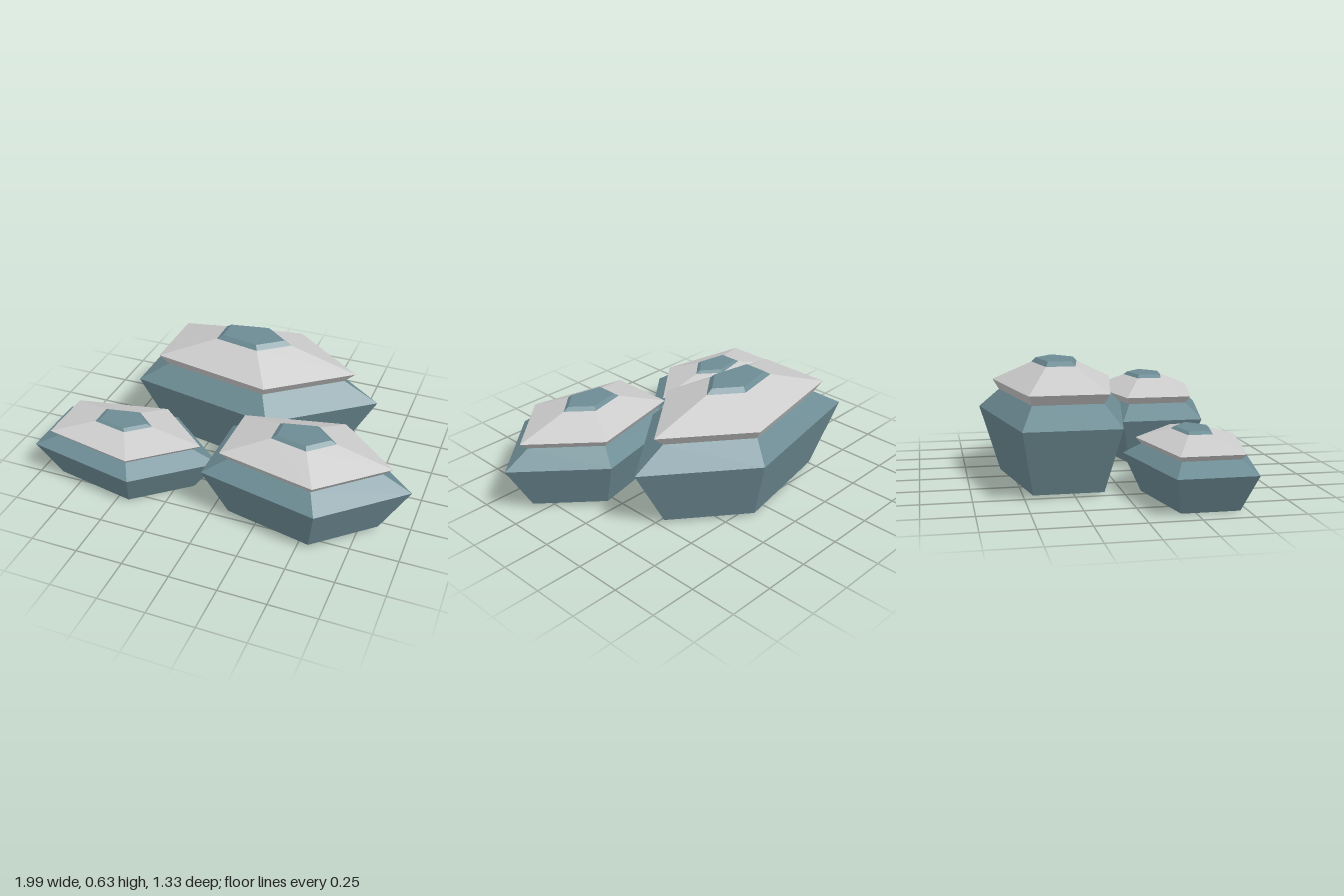
import * as THREE from 'three';

const teal = new THREE.MeshStandardMaterial({ color: 0x6d8c94, flatShading: true });
const grey = new THREE.MeshStandardMaterial({ color: 0xcccccc, flatShading: true });

// Five-sided turned part with one corner towards +x; profile is [radius, y] from bottom to top
function turned(name, profile, material) {
  const points = profile.map(([r, y]) => new THREE.Vector2(r, y));
  const mesh = new THREE.Mesh(new THREE.LatheGeometry(points, 5, Math.PI / 2), material);
  mesh.name = name;
  return mesh;
}

// One lidded pot of unit radius, stretched to rx by rz.
// Heights: base, belly, neck, lid rim, knob base, knob top
function makePot({ name, x, z, rx, rz, heights }) {
  const [base, belly, neck, rim, knob, top] = heights;
  const pot = new THREE.Group();
  pot.name = name;
  pot.add(
    turned('body', [[0, base], [0.735, base], [1, belly], [0.735, neck]], teal),
    turned('lid', [[0, neck], [0.735, neck], [0.817, rim], [0.31, knob]], grey),
    turned('knob', [[0.31, knob], [0.255, top], [0, top]], teal),
  );
  pot.scale.set(rx, 1, rz);
  pot.position.set(x, 0, z);
  return pot;
}

export function createModel() {
  const model = new THREE.Group();
  model.name = 'lidded pots';
  const pots = [
    { name: 'largePot', x: -0.06, z: -0.28, rx: 0.72, rz: 0.41,
      heights: [0.015, 0.358, 0.457, 0.51, 0.612, 0.635] },
    { name: 'mediumPot', x: 0.428, z: 0.308, rx: 0.565, rz: 0.371,
      heights: [0.02, 0.277, 0.353, 0.392, 0.468, 0.485] },
    { name: 'smallPot', x: -0.562, z: 0.322, rx: 0.541, rz: 0.329,
      heights: [0, 0.19, 0.244, 0.273, 0.328, 0.341] },
  ];
  for (const pot of pots) model.add(makePot(pot));
  return model;
}
